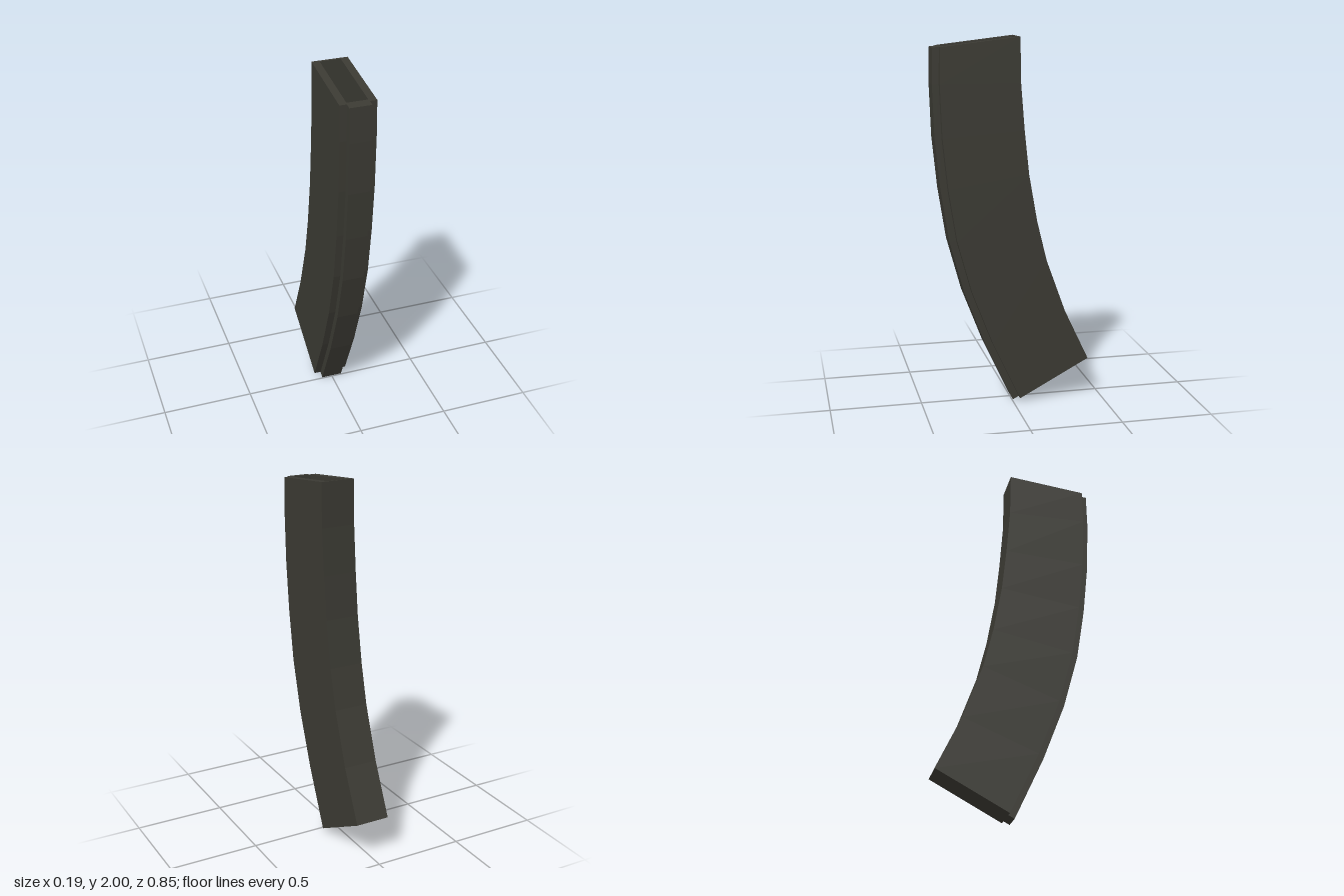
import * as THREE from 'three';

const darkMetal = new THREE.MeshStandardMaterial({ color: 0x3b3a33 });
darkMetal.name = 'darkMetal';

// Side curves, listed top to bottom as [z, y]
const front = [[0.42, 1.947], [0.424, 1.76], [0.414, 1.476], [0.386, 1.2], [0.342, 0.92], [0.262, 0.628], [0.146, 0.326], [-0.006, 0]];
const back = [[-0.036, 2], [-0.04, 1.76], [-0.06, 1.51], [-0.085, 1.275], [-0.13, 1.02], [-0.184, 0.8], [-0.29, 0.507], [-0.424, 0.224]];

// Fractions of the depth, measured from the front curve to the back curve
const RIB = 0.077, HOLE_FRONT = 0.11, HOLE_BACK = 0.978;

// Rectangular cross-section at station i, counterclockwise from above
function section(i, halfWidth, t0, t1) {
  const at = (x, t) => new THREE.Vector3(
    x,
    THREE.MathUtils.lerp(front[i][1], back[i][1], t),
    THREE.MathUtils.lerp(front[i][0], back[i][0], t)
  );
  return [at(halfWidth, t0), at(halfWidth, t1), at(-halfWidth, t1), at(-halfWidth, t0)];
}

// Flat-faced mesh from a list of four-cornered faces
function quadMesh(name, quads) {
  const points = [];
  for (const [a, b, c, d] of quads) points.push(a, b, c, a, c, d);
  const geometry = new THREE.BufferGeometry().setFromPoints(points);
  geometry.computeVertexNormals();
  const mesh = new THREE.Mesh(geometry, darkMetal);
  mesh.name = name;
  return mesh;
}

// Four faces joining a lower ring to an upper ring
function band(lower, upper) {
  return lower.map((p, k) => {
    const n = (k + 1) % lower.length;
    return [p, lower[n], upper[n], upper[k]];
  });
}

// Side walls along the whole curve, closed at the bottom
function sweep(halfWidth, t0, t1) {
  const rings = front.map((_, i) => section(i, halfWidth, t0, t1));
  const quads = [];
  for (let i = 0; i < rings.length - 1; i++) quads.push(...band(rings[i + 1], rings[i]));
  quads.push([...rings[rings.length - 1]].reverse());
  return quads;
}

export function createModel() {
  const group = new THREE.Group();
  group.name = 'curvedCase';

  // Curved outer shell
  group.add(quadMesh('caseBody', sweep(0.095, RIB, 1)));

  // Narrow rib down the front edge
  group.add(quadMesh('frontRib', [...sweep(0.058, 0, RIB), section(0, 0.058, 0, RIB)]));

  // Rim around the opening
  const mouth = section(0, 0.055, HOLE_FRONT, HOLE_BACK);
  group.add(quadMesh('topRim', band(section(0, 0.095, RIB, 1), mouth)));

  // Recess walls facing inward, and its floor
  const floor = section(1, 0.055, HOLE_FRONT, HOLE_BACK);
  const walls = band(floor, mouth).map((q) => q.reverse());
  group.add(quadMesh('recess', [...walls, floor]));

  return group;
}
